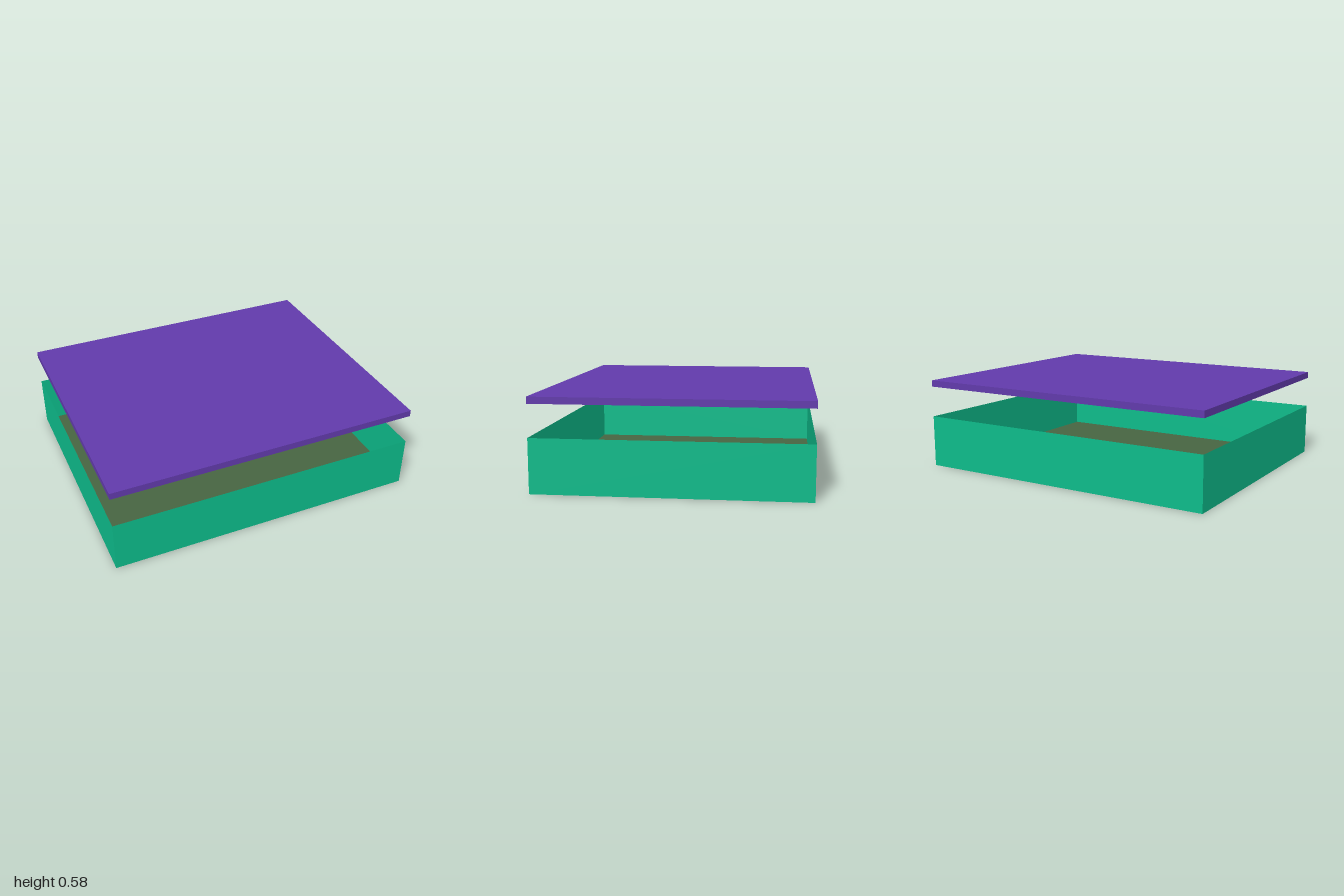
import * as THREE from 'three';

const WIDTH = 2, DEPTH = 1.667, WALL_HEIGHT = 0.336;
const LID_BOTTOM = 0.537, LID_THICKNESS = 0.042;

function material(name, color, side = THREE.FrontSide) {
  const m = new THREE.MeshStandardMaterial({ color, side });
  m.name = name;
  return m;
}

export function createModel() {
  const group = new THREE.Group();
  group.name = 'openBoxWithRaisedLid';
  const green = material('green', 0x0dbb8a, THREE.DoubleSide);
  const olive = material('olive', 0x476542, THREE.DoubleSide);
  const purple = material('purple', 0x613aab);

  function add(name, geometry, mat, x, y, z) {
    const mesh = new THREE.Mesh(geometry, mat);
    mesh.name = name;
    mesh.position.set(x, y, z);
    group.add(mesh);
    return mesh;
  }

  // Paper-thin floor
  add('floor', new THREE.PlaneGeometry(WIDTH, DEPTH).rotateX(-Math.PI / 2), olive, 0, 0, 0);

  // Four paper-thin walls, each facing outward
  const walls = [
    ['frontWall', WIDTH, 0, 0, DEPTH / 2],
    ['leftWall', DEPTH, Math.PI / 2, WIDTH / 2, 0],
    ['backWall', WIDTH, Math.PI, 0, -DEPTH / 2],
    ['rightWall', DEPTH, -Math.PI / 2, -WIDTH / 2, 0],
  ];
  for (const [name, length, turn, x, z] of walls) {
    const geometry = new THREE.PlaneGeometry(length, WALL_HEIGHT).rotateY(turn);
    add(name, geometry, green, x, WALL_HEIGHT / 2, z);
  }

  // Solid lid floating above the box
  add('lid', new THREE.BoxGeometry(WIDTH, LID_THICKNESS, DEPTH), purple,
    0, LID_BOTTOM + LID_THICKNESS / 2, 0);

  return group;
}
